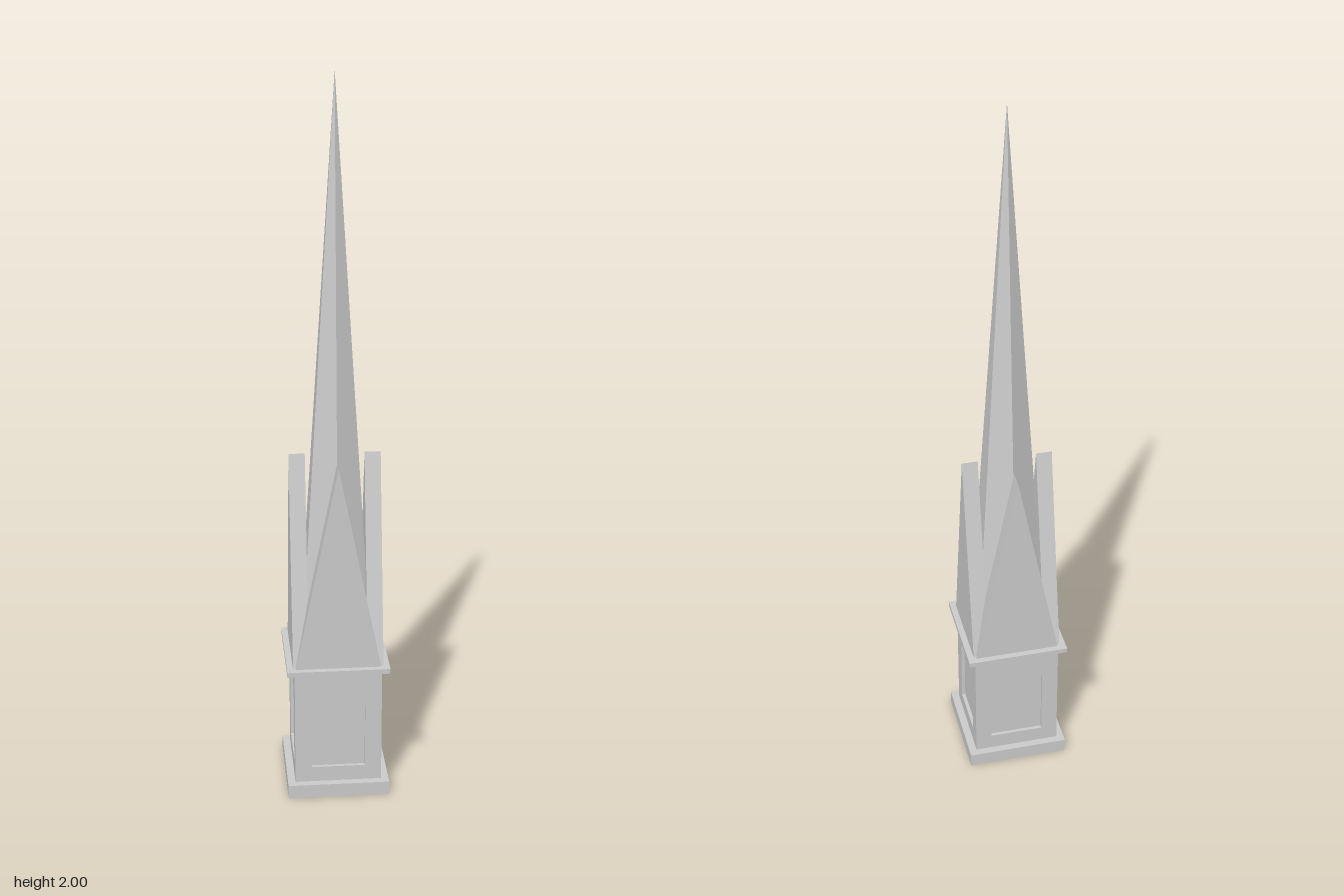
import * as THREE from 'three';

const material = new THREE.MeshStandardMaterial({ color: 0xcccccc, flatShading: true });

function part(name, geometry, y = 0) {
  const mesh = new THREE.Mesh(geometry, material);
  mesh.name = name;
  mesh.position.y = y;
  return mesh;
}

// Square slab standing on height y
function slab(name, width, height, y) {
  return part(name, new THREE.BoxGeometry(width, height, width), y + height / 2);
}

// Wall panel with a round-headed niche cut through it
function nicheWall(width, depth) {
  const w = width / 2;
  const wall = new THREE.Shape();
  wall.moveTo(-w, 0.04).lineTo(w, 0.04).lineTo(w, 0.38).lineTo(-w, 0.38).closePath();
  const niche = new THREE.Path();
  niche.moveTo(-0.075, 0.085).lineTo(0.075, 0.085).lineTo(0.075, 0.265);
  niche.absarc(0, 0.265, 0.075, 0, Math.PI, false);
  niche.closePath();
  wall.holes.push(niche);
  return new THREE.ExtrudeGeometry(wall, { depth, bevelEnabled: false, curveSegments: 16 });
}

// Tall triangular gable slab
function gable() {
  const shape = new THREE.Shape();
  shape.moveTo(-0.118, 0.392).lineTo(0.118, 0.392).lineTo(0, 0.98).closePath();
  return new THREE.ExtrudeGeometry(shape, { depth: 0.044, bevelEnabled: false });
}

export function createModel() {
  const model = new THREE.Group();
  model.name = 'steeple';
  const half = 0.121, wallDepth = 0.01;
  const inner = 2 * (half - wallDepth);

  // Plinth, tower core and cornice
  model.add(slab('plinth', 0.284, 0.04, 0));
  model.add(slab('towerCore', inner, 0.34, 0.04));
  model.add(slab('cornice', 0.284, 0.014, 0.38));

  // One niche wall and one gable on each side
  for (let i = 0; i < 4; i++) {
    const side = new THREE.Group();
    side.name = ['front', 'left', 'back', 'right'][i] + 'Side';
    side.rotation.y = i * Math.PI / 2;
    const wall = part('nicheWall', nicheWall(i % 2 ? inner : 2 * half, wallDepth));
    wall.position.z = half - wallDepth;
    const peak = part('gable', gable());
    peak.position.z = 0.081;
    side.add(wall, peak);
    model.add(side);
  }

  // Six-sided spire, with corners to the front and back
  model.add(part('spire', new THREE.ConeGeometry(0.113, 1.608, 6), 0.392 + 0.804));
  return model;
}
